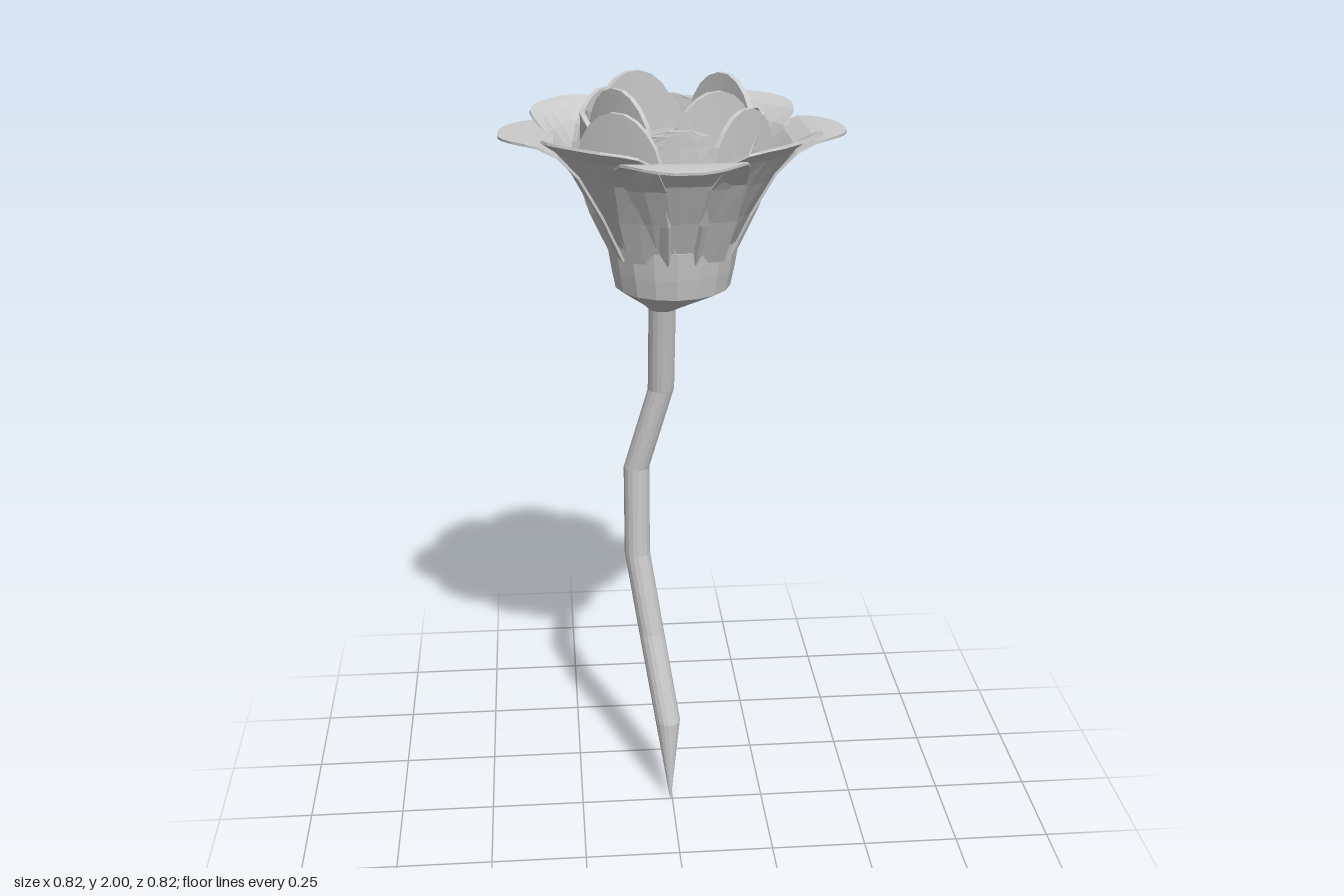
import * as THREE from 'three';

const material = new THREE.MeshStandardMaterial({
  color: 0xcccccc, flatShading: true, side: THREE.DoubleSide,
});

function buildMesh(name, positions, index) {
  const geometry = new THREE.BufferGeometry();
  geometry.setAttribute('position', new THREE.Float32BufferAttribute(positions, 3));
  geometry.setIndex(index);
  geometry.computeVertexNormals();
  const mesh = new THREE.Mesh(geometry, material);
  mesh.name = name;
  return mesh;
}

// Joins closed loops of equal length, row above row, with outward faces
function joinLoops(rows, count) {
  const index = [];
  for (let i = 0; i < rows - 1; i++) {
    for (let j = 0; j < count; j++) {
      const a = i * count + j, b = i * count + (j + 1) % count;
      index.push(a, b, b + count, a, b + count, a + count);
    }
  }
  return index;
}

// Round tube through rings of [x, y, z, radius], closed at both ends
function loft(name, rings, sides) {
  const positions = [];
  for (const [x, y, z, r] of rings) {
    for (let j = 0; j < sides; j++) {
      const a = (j / sides) * Math.PI * 2;
      positions.push(x + r * Math.sin(a), y, z + r * Math.cos(a));
    }
  }
  const index = joinLoops(rings.length, sides);
  const top = (rings.length - 1) * sides;
  for (let j = 1; j < sides - 1; j++) {
    index.push(0, j + 1, j, top, top + j, top + j + 1);
  }
  return buildMesh(name, positions, index);
}

// Thin petal facing +z from rows of [distance out, height, half width, bend radius]
function petal(name, rows, thickness) {
  const N = 7, count = N * 2, positions = [];
  rows.forEach(([r, y, w, bend], i) => {
    const before = rows[Math.max(i - 1, 0)], after = rows[Math.min(i + 1, rows.length - 1)];
    const dr = after[0] - before[0], dy = after[1] - before[1];
    const length = Math.hypot(dr, dy);
    for (let j = 0; j < count; j++) {
      const inner = j >= N;
      const u = ((inner ? count - 1 - j : j) / (N - 1)) * 2 - 1;
      const a = (u * w) / bend;
      const t = inner ? thickness / length : 0;
      positions.push(
        (bend - t * dy) * Math.sin(a),
        y + t * dr,
        r - bend + (bend - t * dy) * Math.cos(a),
      );
    }
  });
  const index = joinLoops(rows.length, count);
  const top = (rows.length - 1) * count;
  for (let j = 0; j < N - 1; j++) {
    const a = j, b = j + 1, c = count - 2 - j, d = count - 1 - j;
    index.push(a, c, b, a, d, c, top + a, top + b, top + c, top + a, top + c, top + d);
  }
  return buildMesh(name, positions, index);
}

// Upright petal with a domed top
function uprightRows(base, radius, topY, halfWidth, bend) {
  const dome = 0.15, end = 1.42, bottom = topY - dome;
  const rows = [
    [base, 1.6, halfWidth * 0.7, bend],
    [base * 0.45 + radius * 0.55, 1.6 + (bottom - 1.6) * 0.5, halfWidth * 0.93, bend],
  ];
  for (let i = 0; i <= 5; i++) {
    const a = (i / 5) * end;
    rows.push([radius, bottom + (dome * Math.sin(a)) / Math.sin(end), halfWidth * Math.cos(a), bend]);
  }
  return rows;
}

export function createModel() {
  const group = new THREE.Group();
  group.name = 'flower';

  // Crooked stem, pointed at the foot
  group.add(loft('stem', [
    [-0.005, 0, 0, 0.001],
    [-0.01, 0.24, -0.032, 0.034],
    [-0.05, 0.49, -0.09, 0.034],
    [-0.085, 0.72, -0.117, 0.034],
    [-0.085, 0.97, -0.119, 0.034],
    [-0.022, 1.2, -0.09, 0.034],
    [-0.022, 1.46, -0.035, 0.034],
  ], 16));

  // Cup under the petals
  group.add(loft('cup', [
    [-0.022, 1.435, -0.035, 0.035],
    [-0.016, 1.45, -0.025, 0.052],
    [0, 1.51, 0, 0.142],
    [0, 1.56, 0, 0.152],
    [0, 1.63, 0, 0.163],
  ], 18));

  // Each layer holds four petals, a quarter turn apart
  const layers = [
    ['curledOuterPetal', 0, 0.006, [
      [0.145, 1.6, 0.115, 0.35], [0.193, 1.71, 0.138, 0.5], [0.243, 1.81, 0.15, 0.8],
      [0.285, 1.858, 0.153, 1.2], [0.325, 1.878, 0.142, 2], [0.35, 1.881, 0.125, 3],
      [0.38, 1.881, 0.095, 3], [0.4, 1.88, 0.063, 3], [0.41, 1.879, 0.03, 3],
    ]],
    ['flaredOuterPetal', 49, 0.006, [
      [0.145, 1.6, 0.09, 0.15], [0.205, 1.71, 0.125, 0.18], [0.26, 1.8, 0.15, 0.21],
      [0.305, 1.865, 0.157, 0.28], [0.335, 1.893, 0.14, 0.45], [0.355, 1.903, 0.113, 0.7],
      [0.37, 1.907, 0.075, 1], [0.376, 1.909, 0.035, 1],
    ]],
    ['roundInnerPetal', 0, 0.012, uprightRows(0.13, 0.217, 1.93, 0.17, 0.217)],
    ['tallMiddlePetal', 49, 0.012, uprightRows(0.135, 0.212, 1.96, 0.125, 1.5)],
    ['tallInnerPetal', 33, 0.012, uprightRows(0.13, 0.163, 2, 0.126, 1)],
  ];
  for (const [name, degrees, thickness, rows] of layers) {
    for (let k = 0; k < 4; k++) {
      const mesh = petal(name, rows, thickness);
      mesh.rotation.y = THREE.MathUtils.degToRad(degrees + 90 * k);
      group.add(mesh);
    }
  }
  return group;
}
